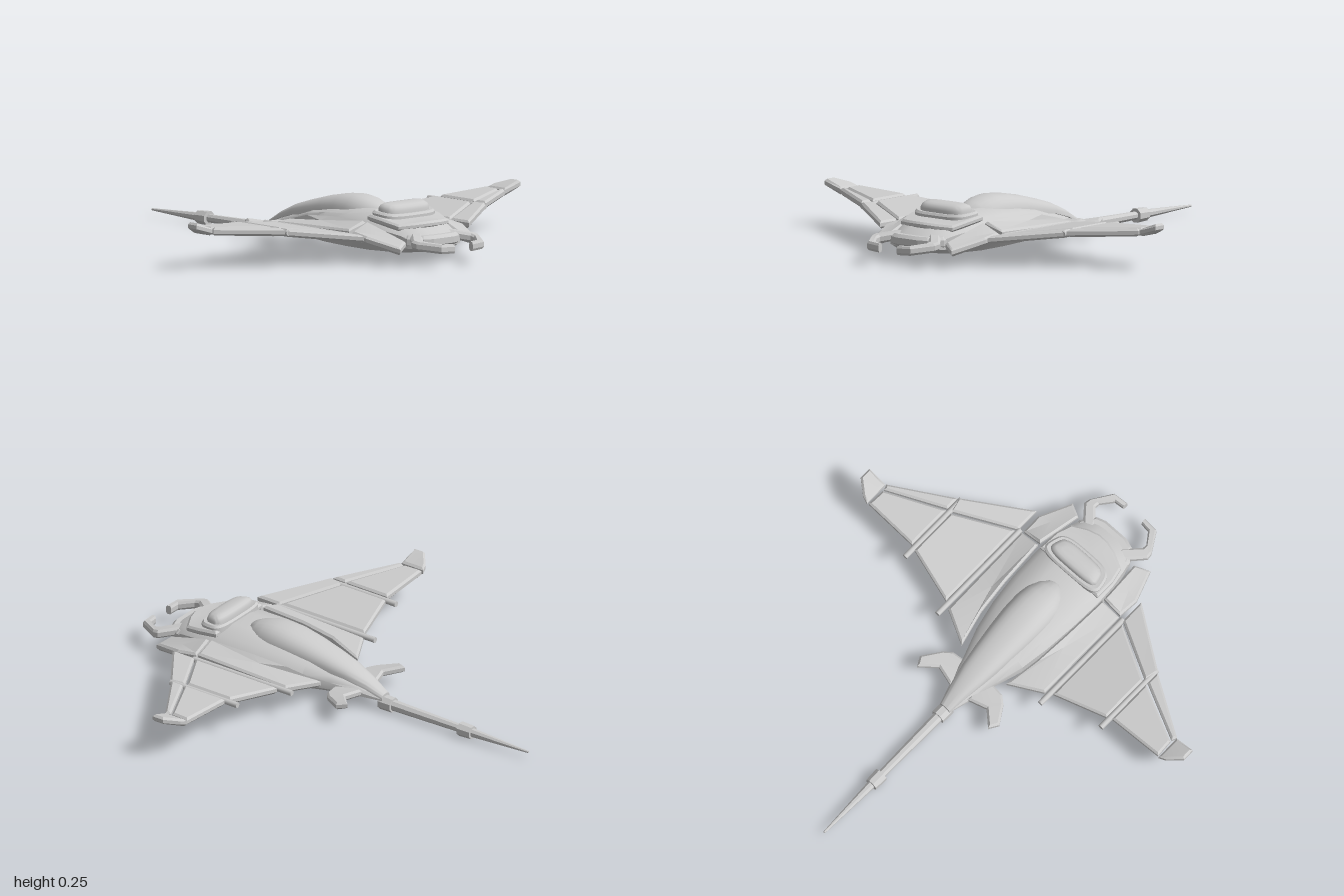
import * as THREE from 'three';
import { toCreasedNormals } from 'three/addons/utils/BufferGeometryUtils.js';

const material = new THREE.MeshStandardMaterial({ color: 0xcccccc });

// Skin a list of equal-length rings, cap both ends and make the result face outwards
function loft(rings, crease = 0.5) {
  const n = rings[0].length, pos = rings.flat(2), index = [];
  rings.slice(1).forEach((_, r) => {
    for (let i = 0; i < n; i++) {
      const a = r * n + i, b = r * n + (i + 1) % n;
      index.push(a, b, b + n, a, b + n, a + n);
    }
  });
  [0, rings.length - 1].forEach((r, end) => {
    const c = pos.length / 3;
    for (let k = 0; k < 3; k++) pos.push(rings[r].reduce((s, p) => s + p[k], 0) / n);
    for (let i = 0; i < n; i++) {
      const a = r * n + i, b = r * n + (i + 1) % n;
      index.push(...(end ? [a, b, c] : [b, a, c]));
    }
  });
  const v = i => new THREE.Vector3().fromArray(pos, i * 3);
  let volume = 0;
  for (let i = 0; i < index.length; i += 3)
    volume += v(index[i]).dot(v(index[i + 1]).cross(v(index[i + 2])));
  if (volume < 0) index.reverse();
  const g = new THREE.BufferGeometry();
  g.setAttribute('position', new THREE.Float32BufferAttribute(pos, 3));
  g.setIndex(index);
  return toCreasedNormals(g, crease);
}

// Move an outline inwards in plan by distance d, and vertically by dy
function inset(points, d, dy) {
  const n = points.length;
  const area = points.reduce((s, p, i) => {
    const q = points[(i + 1) % n];
    return s + p[0] * q[2] - q[0] * p[2];
  }, 0);
  const normal = (p, q) => {
    const v = new THREE.Vector2(p[2] - q[2], q[0] - p[0]).normalize();
    return area < 0 ? v.negate() : v;
  };
  return points.map((p, i) => {
    const a = normal(points[(i + n - 1) % n], p), b = normal(p, points[(i + 1) % n]);
    const k = d / Math.max(0.4, 1 + a.dot(b));
    return [p[0] + (a.x + b.x) * k, p[1] + dy, p[2] + (a.y + b.y) * k];
  });
}

// Plate with chamfered edges; points are [x, middle y, z]
function plate(points, t = 0.034, bevel = 0.009) {
  const h = t / 2;
  return loft([inset(points, bevel, -h), inset(points, 0, -h + bevel),
    inset(points, 0, h - bevel), inset(points, bevel, h)], 0.3);
}

const mirrorX = points => points.map(([x, y, z]) => [-x, y, z]);

// Complete a half outline by reflecting it across the middle
const whole = half => [...half, ...mirrorX(half).reverse()];

export function createModel() {
  const model = new THREE.Group();
  const add = (name, geometry, parent = model) => {
    const mesh = new THREE.Mesh(geometry, material);
    mesh.name = name;
    parent.add(mesh);
    return mesh;
  };

  // Hull: [z, half width, bottom, shoulder, top]
  const hull = [[0.85, 0.11, 0.07, 0.1, 0.115], [0.8, 0.14, 0.05, 0.11, 0.145],
    [0.75, 0.155, 0.043, 0.125, 0.165], [0.66, 0.173, 0.04, 0.14, 0.19],
    [0.55, 0.18, 0.036, 0.145, 0.203], [0.4, 0.175, 0.036, 0.15, 0.205],
    [0.25, 0.16, 0.038, 0.14, 0.195], [0.12, 0.135, 0.042, 0.12, 0.175],
    [0, 0.095, 0.047, 0.1, 0.14], [-0.12, 0.062, 0.05, 0.08, 0.105],
    [-0.23, 0.028, 0.05, 0.06, 0.07]];
  add('hull', loft(hull.map(([z, w, b, s, t]) => whole([
    [0.3 * w, b, z], [0.85 * w, b + 0.006, z], [w, b + (s - b) * 0.35, z], [w, s, z],
    [0.82 * w, s + (t - s) * 0.6, z], [0.35 * w, t, z]])), 0.6));

  // Spine hump: [z, half width, top]
  const spine = [[0.49, 0.035, 0.2], [0.475, 0.065, 0.213], [0.44, 0.088, 0.228], [0.39, 0.1, 0.242],
    [0.33, 0.103, 0.249], [0.25, 0.1, 0.243], [0.15, 0.09, 0.224], [0.05, 0.078, 0.198],
    [-0.05, 0.064, 0.168], [-0.15, 0.044, 0.125], [-0.23, 0.028, 0.08]];
  add('spine', loft(spine.map(([z, w, top]) => {
    const base = Math.min(0.17, top - 0.02 - Math.max(0, z + 0.23) * 0.15);
    return Array.from({ length: 15 }, (_, i) => {
      const a = i / 14 * Math.PI, c = Math.cos(a);
      return [w * Math.sign(c) * Math.abs(c) ** 0.8, base + (top - base) * Math.sin(a) ** 0.8, z];
    });
  }), 0.8));

  // Hood lip over the head, and the head below it
  add('hood', plate(whole([[0.17, 0.185, 0.56], [0.168, 0.172, 0.66], [0.148, 0.155, 0.735],
    [0.08, 0.16, 0.77], [0.025, 0.163, 0.785]]), 0.03));
  add('head', plate(whole([[0.15, 0.1, 0.72], [0.148, 0.1, 0.79], [0.105, 0.1, 0.85],
    [0.06, 0.1, 0.865]]), 0.055, 0.014));

  // Canopy rim and dome share one rounded outline, narrower at the front
  const canopy = (halfX, halfZ, y) => Array.from({ length: 32 }, (_, i) => {
    const a = i / 32 * Math.PI * 2, c = Math.cos(a), s = Math.sin(a);
    const z = halfZ * Math.sign(s) * Math.abs(s) ** 0.55;
    const x = halfX * Math.sign(c) * Math.abs(c) ** 0.55 * (1 - 0.1 * z / halfZ);
    return [x, y - z * 0.12, 0.617 + z];
  });
  add('canopyRim', loft([canopy(0.152, 0.07, 0.175), canopy(0.152, 0.07, 0.203),
    canopy(0.143, 0.062, 0.212), canopy(0.13, 0.053, 0.21)]));
  add('canopyDome', loft([[0.127, 0.05, 0.2], [0.127, 0.05, 0.222], [0.12, 0.045, 0.235],
    [0.106, 0.034, 0.243], [0.08, 0.018, 0.246]].map(p => canopy(...p)), 0.9));

  // Wing plates, left side outlines
  const plates = {
    innerWing: [[0.132, 0.105, 0.02], [0.285, 0.115, 0.1], [0.288, 0.13, 0.57],
      [0.19, 0.158, 0.57], [0.18, 0.155, 0.35], [0.165, 0.14, 0.18]],
    wingRoot: [[0.19, 0.155, 0.582], [0.285, 0.122, 0.582], [0.29, 0.11, 0.68],
      [0.23, 0.072, 0.835], [0.165, 0.092, 0.8]],
    middleWing: [[0.318, 0.12, 0.12], [0.567, 0.15, 0.19], [0.567, 0.15, 0.42], [0.318, 0.12, 0.56]],
    middleLeadingEdge: [[0.31, 0.12, 0.573], [0.575, 0.15, 0.428], [0.59, 0.152, 0.495], [0.31, 0.12, 0.69]],
    outerWing: [[0.592, 0.155, 0.2], [0.855, 0.166, 0.208], [0.85, 0.166, 0.292], [0.592, 0.155, 0.416]],
    outerLeadingEdge: [[0.592, 0.155, 0.426], [0.85, 0.166, 0.3], [0.86, 0.166, 0.324], [0.592, 0.155, 0.49]],
    wingTip: [[0.862, 0.168, 0.204], [0.895, 0.177, 0.215], [0.956, 0.195, 0.265],
      [0.956, 0.195, 0.32], [0.862, 0.168, 0.32]],
    rearFin: [[0.04, 0.07, -0.01], [0.145, 0.068, -0.02], [0.18, 0.073, -0.05], [0.235, 0.085, -0.135],
      [0.21, 0.092, -0.18], [0.14, 0.08, -0.115], [0.05, 0.075, -0.14]],
  };
  // Claw arm: [inner x, inner z, outer x, outer z, middle y]
  const claw = [[0.075, 0.81, 0.12, 0.78, 0.115], [0.14, 0.883, 0.188, 0.862, 0.1],
    [0.14, 0.905, 0.184, 0.89, 0.095], [0.098, 0.962, 0.125, 0.986, 0.086],
    [0.055, 0.967, 0.052, 0.993, 0.083]];
  const clawRings = claw.map(([ix, iz, ox, oz, y]) => {
    const at = (f, dy) => [ix + (ox - ix) * f, y + dy, iz + (oz - iz) * f];
    return [at(0.2, -0.02), at(0.8, -0.02), at(1, -0.01), at(1, 0.01),
      at(0.8, 0.02), at(0.2, 0.02), at(0, 0.01), at(0, -0.01)];
  });

  [['left', 1], ['right', -1]].forEach(([label, side]) => {
    const half = new THREE.Group();
    half.name = label + 'Side';
    model.add(half);
    const flip = points => side > 0 ? points : mirrorX(points);
    for (const [name, points] of Object.entries(plates)) add(name, plate(flip(points)), half);
    add('claw', loft(clawRings.map(flip), 0.3), half);
    // Ribs between the wing plates
    [[0.304, 0.122, 0.05, 0.58], [0.579, 0.152, 0.14, 0.5]].forEach(([x, y, z0, z1]) => {
      const rib = add('wingRib', new THREE.CylinderGeometry(0.013, 0.013, z1 - z0, 8), half);
      rib.rotation.x = Math.PI / 2;
      rib.position.set(side * x, y, (z0 + z1) / 2);
    });
  });

  // Tail: [name, front z, back z, front radius, back radius]
  [['tailSocket', -0.21, -0.275, 0.035, 0.034], ['tailRod', -0.27, -0.645, 0.025, 0.018],
    ['tailCollar', -0.635, -0.7, 0.033, 0.03], ['tailSpike', -0.69, -1, 0.02, 0.005]]
    .forEach(([name, z0, z1, r0, r1]) => {
      const g = new THREE.CylinderGeometry(r0, r1, z0 - z1, 8);
      g.rotateY(Math.PI / 8);
      const part = add(name, toCreasedNormals(g, 0.5));
      part.rotation.x = Math.PI / 2;
      part.position.set(0, 0.036, (z0 + z1) / 2);
    });
  return model;
}
